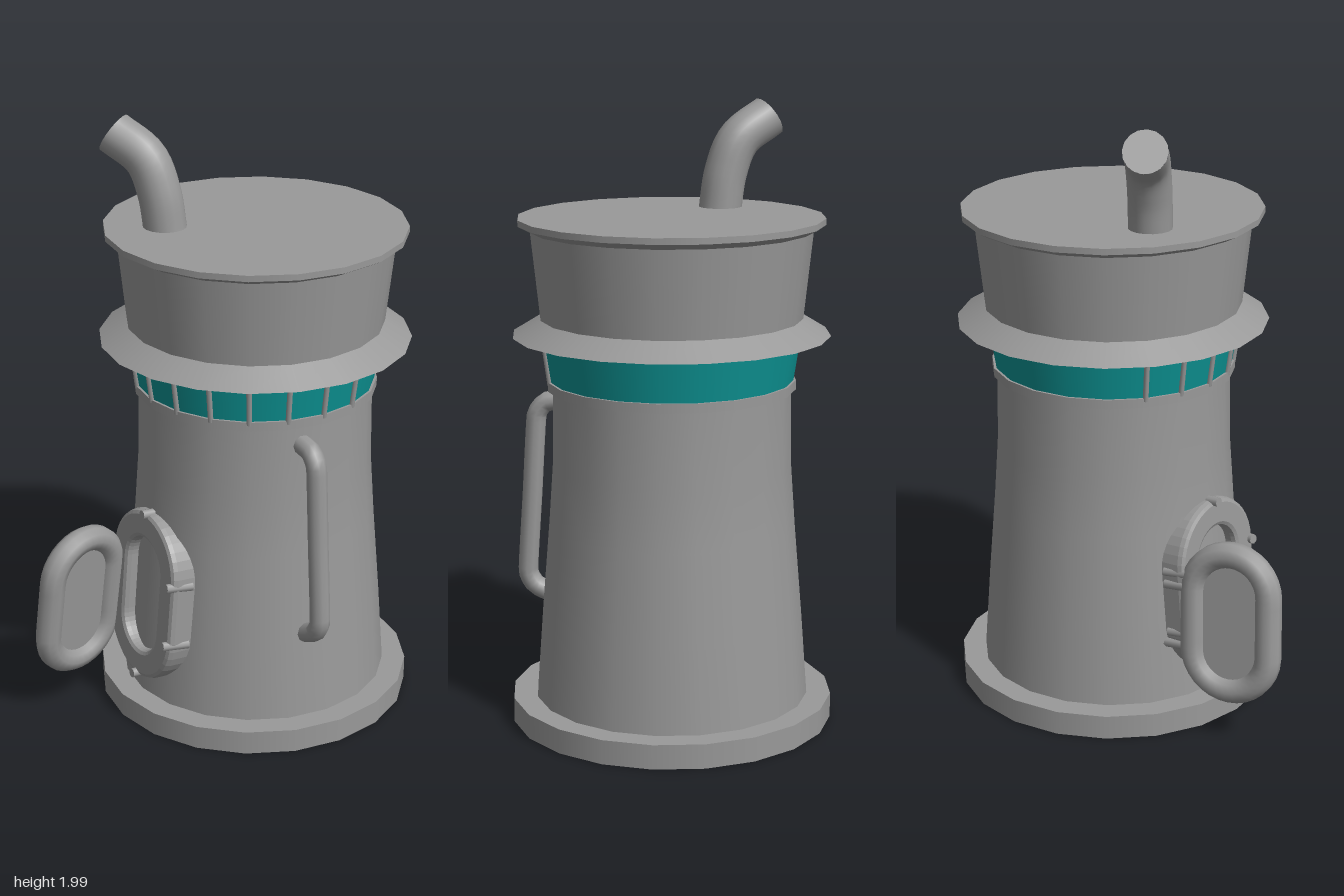
import * as THREE from 'three';

const SIDES = 20;
const CENTRE_X = 0.12;

export function createModel() {
  const metal = new THREE.MeshStandardMaterial({ color: 0x999999 });
  metal.name = 'greyMetal';
  const glass = new THREE.MeshStandardMaterial({ color: 0x0d9494 });
  glass.name = 'tealGlass';

  const model = new THREE.Group();
  model.name = 'towerModule';

  const add = (parent, name, geometry, material = metal) => {
    const mesh = new THREE.Mesh(geometry, material);
    mesh.name = name;
    parent.add(mesh);
    return mesh;
  };
  const group = (parent, name) => {
    const g = new THREE.Group();
    g.name = name;
    parent.add(g);
    return g;
  };
  const V = (x, y, z) => new THREE.Vector3(x, y, z);

  // Straight rod between two points
  const rod = (parent, name, a, b, r) => {
    const mesh = add(parent, name, new THREE.CylinderGeometry(r, r, a.distanceTo(b), 8));
    mesh.position.copy(a).lerp(b, 0.5);
    mesh.quaternion.setFromUnitVectors(V(0, 1, 0), b.clone().sub(a).normalize());
    return mesh;
  };

  // Stadium outline, centred on the origin
  const stadium = (Kind, r, halfHeight) => {
    const s = new Kind();
    const h = halfHeight - r;
    s.moveTo(r, -h);
    s.lineTo(r, h);
    s.absarc(0, h, r, 0, Math.PI, false);
    s.lineTo(-r, -h);
    s.absarc(0, -h, r, Math.PI, Math.PI * 2, false);
    return s;
  };

  // ---- Tower ----
  const tower = group(model, 'tower');
  tower.position.x = CENTRE_X;
  const band = (name, rBottom, rTop, y0, y1, material, open = false) => {
    const g = new THREE.CylinderGeometry(rTop, rBottom, y1 - y0, SIDES, 1, open);
    add(tower, name, g, material).position.y = (y0 + y1) / 2;
  };
  band('basePlate', 0.525, 0.525, 0, 0.08);
  const profile = [[0.447, 0.08], [0.427, 0.35], [0.402, 0.65], [0.388, 0.85], [0.385, 1.11]]
    .map(([r, y]) => new THREE.Vector2(r, y));
  add(tower, 'body', new THREE.LatheGeometry(profile, SIDES));
  band('sillRing', 0.4, 0.4, 1.1, 1.13);
  band('windowBand', 0.392, 0.415, 1.13, 1.28, glass);
  band('skirt', 0.51, 0.42, 1.275, 1.33);
  band('upperBody', 0.42, 0.452, 1.32, 1.62);
  band('capFlare', 0.452, 0.49, 1.61, 1.63);
  band('cap', 0.49, 0.49, 1.63, 1.65);

  // Window bars around the front and right side only
  for (let i = -1; i <= 7; i++) {
    const a = i * Math.PI / 10;
    const at = (r, y) => V(-Math.sin(a) * r, y, Math.cos(a) * r);
    rod(tower, 'windowBar', at(0.393, 1.12), at(0.415, 1.28), 0.009);
  }

  // ---- Exhaust pipe with closed end ----
  const pipe = group(model, 'exhaustPipe');
  const pipePath = new THREE.CatmullRomCurve3([
    V(-0.137, 1.63, -0.13), V(-0.149, 1.76, -0.148), V(-0.173, 1.865, -0.188), V(-0.235, 1.936, -0.28),
  ]);
  add(pipe, 'pipeTube', new THREE.TubeGeometry(pipePath, 16, 0.07, 16));
  const end = add(pipe, 'pipeEnd', new THREE.CircleGeometry(0.07, 16));
  end.position.copy(pipePath.getPoint(1));
  end.quaternion.setFromUnitVectors(V(0, 0, 1), pipePath.getTangent(1));

  // ---- Front grab handle ----
  const handlePath = new THREE.CatmullRomCurve3([
    V(0.055, 1.035, 0.36), V(0.055, 1.025, 0.42), V(0.055, 0.98, 0.452),
    V(0.055, 0.72, 0.469), V(0.055, 0.45, 0.487), V(0.055, 0.4, 0.462), V(0.055, 0.37, 0.4),
  ], false, 'catmullrom', 0.2);
  add(model, 'grabHandle', new THREE.TubeGeometry(handlePath, 40, 0.033, 10));

  // ---- Hatch frame on the right wall, following its slope ----
  const hatchSide = group(model, 'hatch');
  hatchSide.position.set(CENTRE_X, 0.4, 0);
  hatchSide.rotation.y = -Math.PI / 2;
  const frame = group(hatchSide, 'hatchFrame');
  frame.rotation.x = -0.085;
  const frameShape = stadium(THREE.Shape, 0.18, 0.28);
  frameShape.holes.push(stadium(THREE.Path, 0.115, 0.215));
  const frameMesh = add(frame, 'frameRing', new THREE.ExtrudeGeometry(frameShape, {
    depth: 0.07, bevelThickness: 0.02, bevelSize: 0.015, bevelSegments: 2, curveSegments: 10,
  }));
  frameMesh.position.z = 0.36;
  // Latches around the frame
  const latches = [[0.19, 0.1], [0.19, -0.11], [-0.19, 0.1], [-0.19, -0.11], [0, 0.29], [0, -0.29]];
  for (const [x, y] of latches) {
    rod(frame, 'latch', V(x, y, 0.375), V(x * 0.92, y, 0.465), 0.016);
  }

  // ---- Open hatch door: tubular rim around a thin panel ----
  const door = group(model, 'hatchDoor');
  door.position.set(-0.478, 0.4, -0.145);
  door.rotation.set(0.1, 0.22, -0.05, 'YXZ');
  const rimPoints = stadium(THREE.Shape, 0.13, 0.228).getSpacedPoints(40)
    .slice(0, -1).map((p) => V(p.x, p.y, 0));
  const rimPath = new THREE.CatmullRomCurve3(rimPoints, true);
  add(door, 'doorRim', new THREE.TubeGeometry(rimPath, 48, 0.043, 10, true));
  const panel = add(door, 'doorPanel', new THREE.ExtrudeGeometry(stadium(THREE.Shape, 0.12, 0.218), {
    depth: 0.03, bevelEnabled: false, curveSegments: 10,
  }));
  panel.position.z = -0.015;

  // Hinges joining the door to the frame
  for (const y of [0.5, 0.29]) {
    rod(model, 'hinge', V(-0.35, y, -0.18), V(-0.25, y - 0.01, -0.19), 0.017);
  }

  return model;
}
